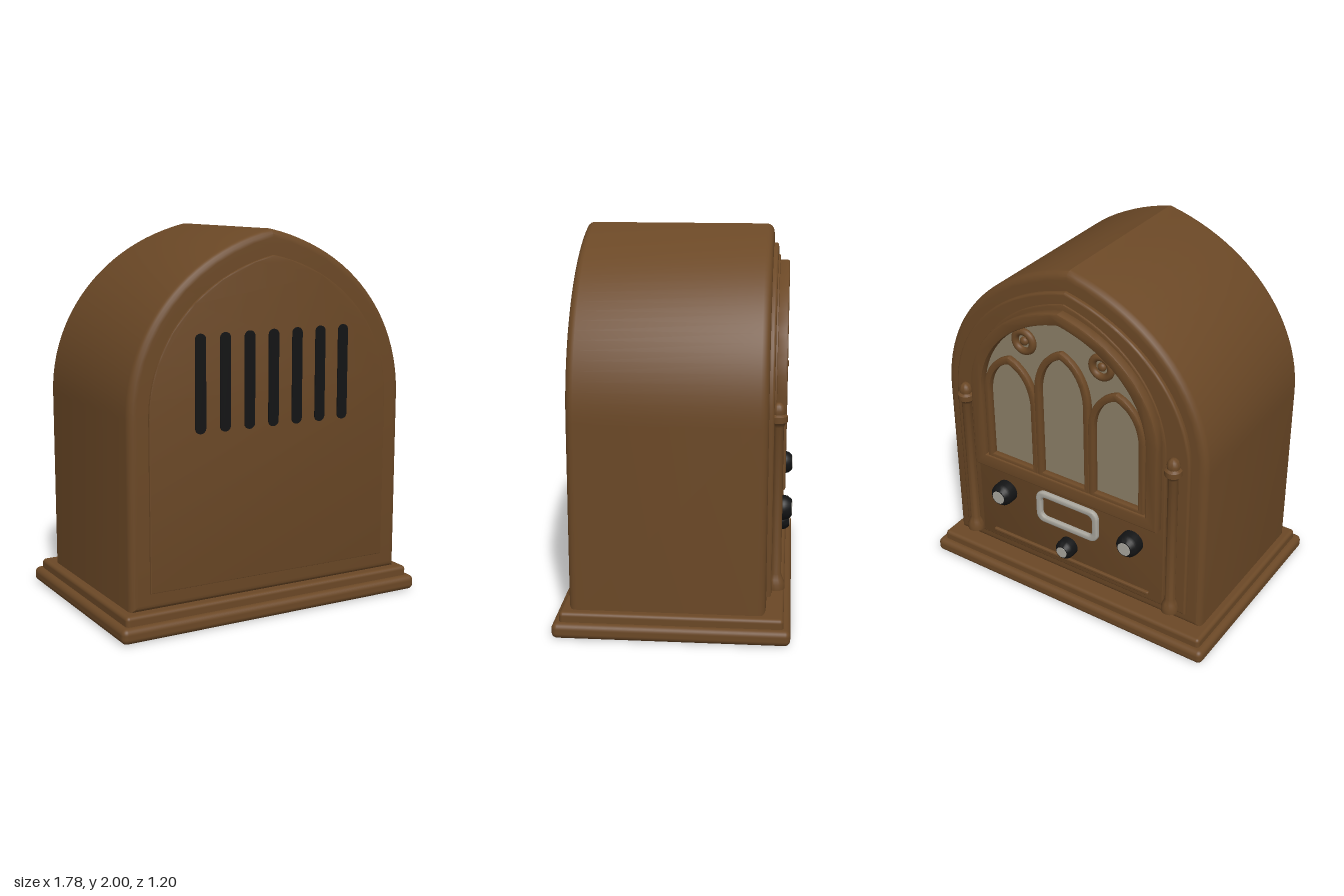
import * as THREE from 'three';
import { toCreasedNormals } from 'three/addons/utils/BufferGeometryUtils.js';
import { RoundedBoxGeometry } from 'three/addons/geometries/RoundedBoxGeometry.js';

const material = (name, color) => {
  const m = new THREE.MeshStandardMaterial({ color });
  m.name = name;
  return m;
};

// Slightly pointed arch: straight sides up to ySpring, then curves to the tip
function arch(cx, hw, y0, ySpring, yTop, Type = THREE.Shape) {
  const h = yTop - ySpring;
  const s = new Type();
  s.moveTo(cx - hw, y0);
  s.lineTo(cx + hw, y0);
  s.lineTo(cx + hw, ySpring);
  s.bezierCurveTo(cx + hw, ySpring + 0.47 * h, cx + 0.62 * hw, yTop - 0.12 * h, cx, yTop);
  s.bezierCurveTo(cx - 0.62 * hw, yTop - 0.12 * h, cx - hw, ySpring + 0.47 * h, cx - hw, ySpring);
  s.closePath();
  return s;
}

function roundedRect(cx, cy, w, h, r, Type = THREE.Shape) {
  const s = new Type();
  const x = w / 2 - r, y = h / 2 - r;
  s.absarc(cx + x, cy + y, r, 0, Math.PI / 2);
  s.absarc(cx - x, cy + y, r, Math.PI / 2, Math.PI);
  s.absarc(cx - x, cy - y, r, Math.PI, Math.PI * 1.5);
  s.absarc(cx + x, cy - y, r, Math.PI * 1.5, Math.PI * 2);
  s.closePath();
  return s;
}

// Solid between two z planes, with edges rounded inside the outline
function slab(shape, zMin, zMax, bevel = 0, segments = 4) {
  const g = new THREE.ExtrudeGeometry(shape, {
    depth: zMax - zMin - 2 * bevel, bevelEnabled: bevel > 0, bevelThickness: bevel,
    bevelSize: bevel, bevelOffset: -bevel, bevelSegments: segments, curveSegments: 24,
  });
  g.translate(0, 0, zMin + bevel);
  return toCreasedNormals(g, 0.41);
}

const lathe = (points, n = 32) =>
  toCreasedNormals(new THREE.LatheGeometry(points.map(p => new THREE.Vector2(...p)), n), 0.6);

export function createModel() {
  const group = new THREE.Group();
  const wood = material('brown wood', 0x6b4826);
  const black = material('black', 0x131415);
  const cloth = material('grille cloth', 0x8c8068);
  const metal = material('silver metal', 0xaaa79e);
  const add = (name, geometry, mat, x = 0, y = 0, z = 0) => {
    const m = new THREE.Mesh(geometry, mat);
    m.name = name;
    m.position.set(x, y, z);
    group.add(m);
    return m;
  };

  // Stepped base and cabinet
  add('lowerBase', new RoundedBoxGeometry(1.78, 0.08, 1.2, 4, 0.03), wood, 0, 0.04, 0);
  add('upperBase', new RoundedBoxGeometry(1.71, 0.07, 1.13, 4, 0.02), wood, 0, 0.095, 0);
  add('cabinet', slab(arch(0, 0.81, 0.12, 1.1, 2), -0.475, 0.52, 0.04), wood);

  // Plain cover with vent slots on the +z side
  add('ventedCover', slab(arch(0, 0.705, 0.215, 1.1, 1.87), 0.5, 0.53, 0.006, 2), wood);
  for (let i = -3; i <= 3; i++) {
    add('ventSlot', slab(roundedRect(i * 0.141, 1.25, 0.06, 0.5, 0.029), 0.528, 0.536), black);
  }

  // Stepped panel on the -z side
  add('facePanel', slab(arch(0, 0.73, 0.2, 1.1, 1.9), -0.5, -0.46, 0.012), wood);
  add('innerFacePanel', slab(arch(0, 0.6, 0.22, 1.15, 1.84), -0.51, -0.49, 0.006, 2), wood);

  // Arched grille frame around the cloth
  const frame = arch(0, 0.58, 0.72, 1.2, 1.81);
  frame.holes.push(arch(0, 0.51, 0.8, 1.2, 1.745, THREE.Path));
  add('grilleFrame', slab(frame, -0.56, -0.5, 0.01, 2), wood);
  add('grilleCloth', slab(arch(0, 0.54, 0.76, 1.2, 1.77), -0.517, -0.509), cloth);

  // Three pointed window mouldings
  for (const [x, hw, spring, top] of [[0, 0.17, 1.31, 1.59], [0.33, 0.17, 1.2, 1.46], [-0.33, 0.17, 1.2, 1.46]]) {
    const moulding = arch(x, hw, 0.78, spring, top);
    moulding.holes.push(arch(x, hw - 0.038, 0.82, spring, top - 0.042, THREE.Path));
    add('windowMoulding', slab(moulding, -0.55, -0.51, 0.01, 2), wood);
  }

  // Ring rosettes and side columns
  const column = [
    [0, 0.22], [0.046, 0.22], [0.046, 0.25], [0.036, 0.275], [0.027, 0.3], [0.027, 1.07],
    [0.034, 1.085], [0.045, 1.095], [0.045, 1.125], [0.032, 1.135], [0.034, 1.155],
    [0.026, 1.178], [0.012, 1.19], [0, 1.192],
  ];
  for (const side of [-1, 1]) {
    add('rosetteRing', new THREE.TorusGeometry(0.055, 0.02, 12, 32), wood, side * 0.235, 1.575, -0.525);
    const boss = add('rosetteBoss', new THREE.SphereGeometry(0.024, 20, 12), wood, side * 0.235, 1.575, -0.522);
    boss.scale.z = 0.8;
    add('column', lathe(column, 24), wood, side * 0.65, 0, -0.52);
  }

  // Dial surround and lower trim strip
  const dial = roundedRect(0, 0.57, 0.4, 0.2, 0.05);
  dial.holes.push(roundedRect(0, 0.57, 0.33, 0.13, 0.03, THREE.Path));
  add('dialSurround', slab(dial, -0.535, -0.505, 0.01), metal);
  add('trimStrip', new RoundedBoxGeometry(1.03, 0.022, 0.026, 3, 0.008), wood, 0, 0.262, -0.512);

  // Control knobs with metal caps
  for (const [x, y, r, len] of [[-0.41, 0.57, 0.065, 0.092], [0.41, 0.57, 0.065, 0.092], [0, 0.36, 0.055, 0.08]]) {
    const knob = lathe([
      [0, 0], [r, 0], [r, len * 0.55], [r * 0.93, len * 0.75], [r * 0.68, len * 0.96], [0, len * 0.96],
    ]);
    add('knob', knob.rotateX(-Math.PI / 2), black, x, y, -0.506);
    const cap = new THREE.CylinderGeometry(r * 0.58, r * 0.58, 0.006, 32);
    add('knobCap', cap.rotateX(-Math.PI / 2), metal, x, y, -0.506 - len * 0.96);
  }

  return group;
}
